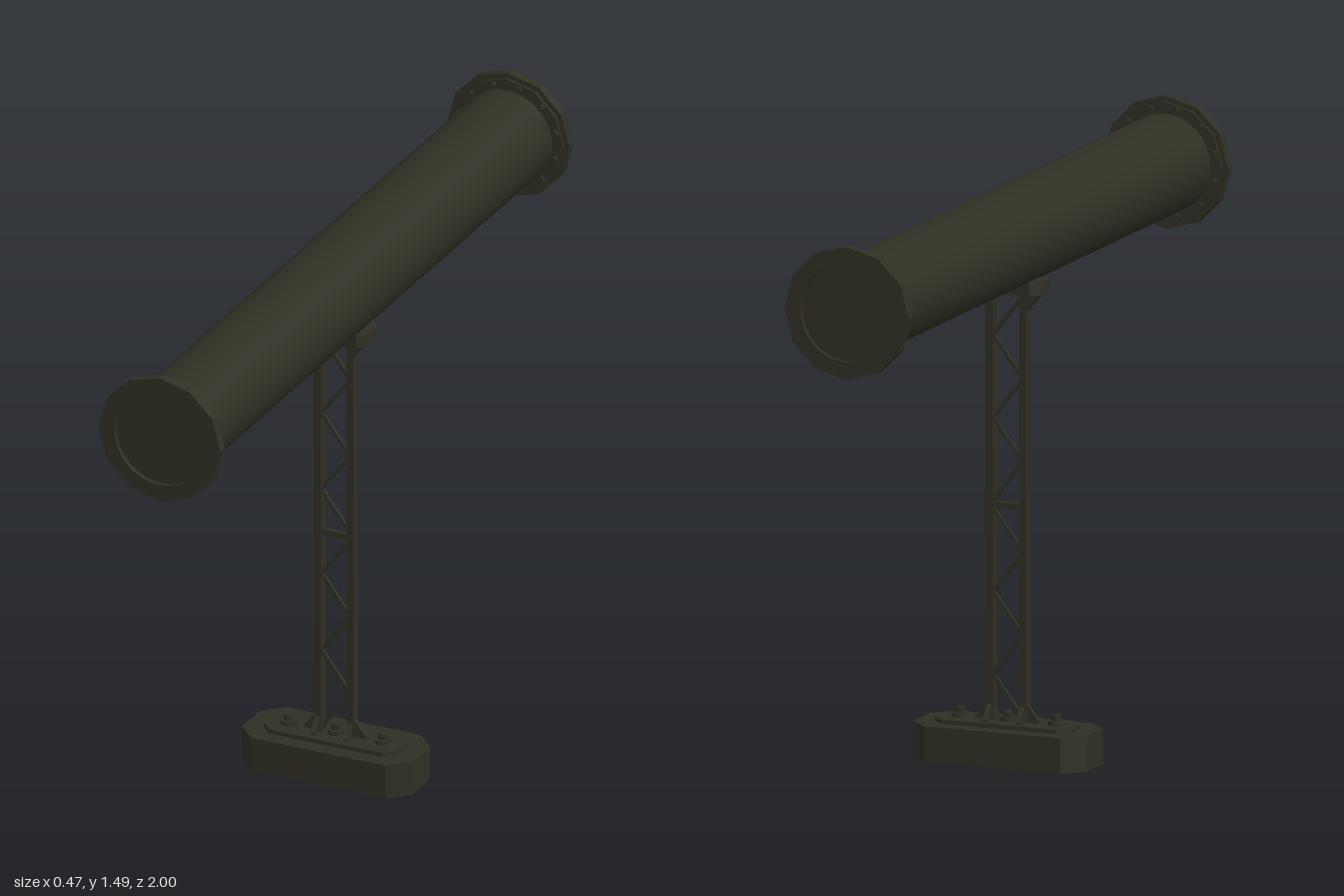
import * as THREE from 'three';

const AXIS_Y = 1.325;   // height of the tube's axis
const POST_X = 0.045;   // half spacing of the mast posts

export function createModel() {
  const model = new THREE.Group();
  const paint = new THREE.MeshStandardMaterial({ color: 0x302f24 });
  paint.name = 'dark olive';

  function add(parent, name, geometry, x = 0, y = 0, z = 0) {
    const mesh = new THREE.Mesh(geometry, paint);
    mesh.name = name;
    mesh.position.set(x, y, z);
    parent.add(mesh);
    return mesh;
  }

  // Rectangular slab with chamfered corners, its bottom on y = 0
  function slab(hx, hz, c, height) {
    const shape = new THREE.Shape([
      [hx, -hz + c], [hx, hz - c], [hx - c, hz], [-hx + c, hz],
      [-hx, hz - c], [-hx, -hz + c], [-hx + c, -hz], [hx - c, -hz],
    ].map(([x, y]) => new THREE.Vector2(x, y)));
    return new THREE.ExtrudeGeometry(shape, { depth: height, bevelEnabled: false }).rotateX(-Math.PI / 2);
  }

  // Flat polygon plate, centred on its own plane
  function plate(points, thickness) {
    const shape = new THREE.Shape(points.map(([x, y]) => new THREE.Vector2(x, y)));
    return new THREE.ExtrudeGeometry(shape, { depth: thickness, bevelEnabled: false })
      .translate(0, 0, -thickness / 2);
  }

  // Twelve-sided ring with a round hole, extruded towards +z
  function ring(radius, hole, depth) {
    const shape = new THREE.Shape();
    for (let i = 0; i < 12; i++) {
      const a = i * Math.PI / 6;
      const x = radius * Math.cos(a), y = radius * Math.sin(a);
      if (i) shape.lineTo(x, y); else shape.moveTo(x, y);
    }
    shape.closePath();
    const opening = new THREE.Path();
    opening.absarc(0, 0, hole, 0, Math.PI * 2, true);
    shape.holes.push(opening);
    return new THREE.ExtrudeGeometry(shape, { depth, bevelEnabled: false, curveSegments: 16 });
  }

  // Base block, mounting plate and anchor bolts
  const base = new THREE.Group();
  base.name = 'base';
  model.add(base);
  add(base, 'baseBlock', slab(0.235, 0.1, 0.05, 0.09));
  add(base, 'mountingPlate', slab(0.185, 0.058, 0.03, 0.011), 0, 0.09);
  for (const x of [-0.13, 0, 0.13]) {
    add(base, 'anchorWasher', new THREE.CylinderGeometry(0.022, 0.022, 0.01, 8), x, 0.106);
    add(base, 'anchorBolt', new THREE.CylinderGeometry(0.013, 0.013, 0.016, 6), x, 0.118);
  }

  // Lattice mast: two posts, foot gussets and head brackets
  const mast = new THREE.Group();
  mast.name = 'mast';
  model.add(mast);
  for (const s of [-1, 1]) {
    add(mast, 'post', new THREE.BoxGeometry(0.019, 1.11, 0.026), s * POST_X, 0.655);
    const foot = [[0, 0.1], [0.04, 0.1], [0.04, 0.107], [0.008, 0.148], [0, 0.148]];
    for (const turn of [0, Math.PI / 2, -Math.PI / 2]) {
      const gusset = add(mast, 'footGusset', plate(foot, 0.012), s * POST_X);
      gusset.rotation.y = turn + (s < 0 ? Math.PI : 0);
    }
    const head = [[0, 1.145], [0.009, 1.145], [0.05, 1.19], [0.05, 1.2], [0, 1.2]];
    const bracket = add(mast, 'headBracket', plate(head, 0.022), s * POST_X);
    bracket.rotation.y = s < 0 ? Math.PI : 0;
  }

  // Zigzag bracing in two runs, split by a crossbar
  function brace(x1, y1, x2, y2) {
    const mesh = add(mast, 'diagonalBrace',
      new THREE.BoxGeometry(Math.hypot(x2 - x1, y2 - y1), 0.009, 0.009), (x1 + x2) / 2, (y1 + y2) / 2);
    mesh.rotation.z = Math.atan2(y2 - y1, x2 - x1);
  }
  for (const [top, first] of [[1.18, -1], [0.635, 1]]) {
    for (let i = 0; i < 5; i++) {
      const x = first * (i % 2 ? -1 : 1) * 0.04;
      brace(x, top - i * 0.105, -x, top - (i + 1) * 0.105);
    }
  }
  add(mast, 'crossbar', new THREE.BoxGeometry(0.08, 0.014, 0.014), 0, 0.645);

  // Saddle under the tube
  add(model, 'saddle', slab(0.1, 0.05, 0.02, 0.033), 0, 1.19);

  // Long tube with a flange at each end
  const tube = new THREE.Group();
  tube.name = 'tube';
  tube.position.y = AXIS_Y;
  model.add(tube);
  add(tube, 'barrel', new THREE.CylinderGeometry(0.125, 0.125, 1.976, 32).rotateX(Math.PI / 2));
  for (const turn of [0, Math.PI]) {
    const flange = new THREE.Group();
    flange.name = 'endFlange';
    flange.rotation.y = turn;
    tube.add(flange);
    add(flange, 'flangeRim', ring(0.168, 0.124, 0.025), 0, 0, 0.975);
    add(flange, 'flangeCollar', ring(0.155, 0.12, 0.008), 0, 0, 0.967);
    for (let i = 0; i < 12; i++) {
      const a = (i + 0.5) * Math.PI / 6;
      add(flange, 'flangeNut', new THREE.CylinderGeometry(0.009, 0.009, 0.012, 6).rotateX(Math.PI / 2),
        0.139 * Math.cos(a), 0.139 * Math.sin(a), 0.962);
    }
  }
  return model;
}
